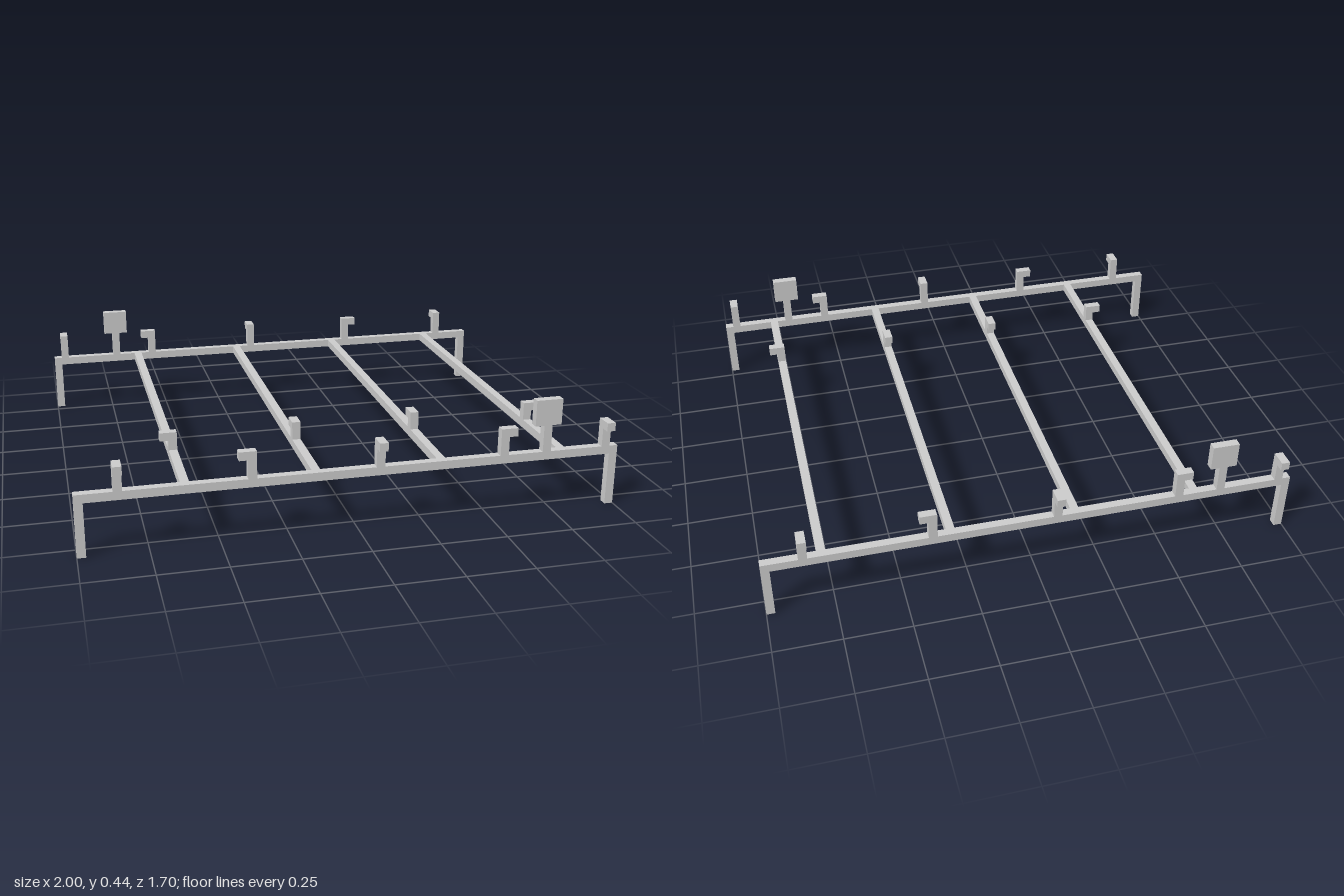
import * as THREE from 'three';

const T = 0.032;           // bar thickness
const RAIL_Z = 0.801;      // end rail centre
const DECK = 0.235;        // top of the frame
const material = new THREE.MeshStandardMaterial({ color: 0xcccccc, flatShading: true });

function box(name, w, h, d, x, y, z) {
  const mesh = new THREE.Mesh(new THREE.BoxGeometry(w, h, d), material);
  mesh.name = name;
  mesh.position.set(x, y, z);
  return mesh;
}

// Upright post with a small block sticking out at its top, towards (dx, dz)
function hook(name, x, z, top, dx, dz) {
  const group = new THREE.Group();
  group.name = name;
  group.add(
    box('hookPost', T, top - DECK, T, x, (top + DECK) / 2, z),
    box('hookTip', T, T, T, x + dx * T, top - T / 2, z + dz * T)
  );
  return group;
}

// One end: rail, two legs, five hooks and a paddle
function endFrame(name) {
  const group = new THREE.Group();
  group.name = name;
  group.add(box('endRail', 2, T, T, 0, DECK - T / 2, RAIL_Z));
  for (const side of [-1, 1]) {
    group.add(box('leg', T, DECK - T, T, side * (1 - T / 2), (DECK - T) / 2, RAIL_Z));
  }
  for (const x of [-0.85, 0.081, 0.952]) {
    group.add(hook('outwardHook', x, RAIL_Z, 0.337, 0, 1));
  }
  group.add(hook('sidewaysHook', -0.384, RAIL_Z, 0.337, -1, 0));
  group.add(hook('sidewaysHook', 0.551, RAIL_Z, 0.337, 1, 0));
  group.add(box('paddleStem', T, 0.102, T, 0.716, 0.286, RAIL_Z));
  group.add(box('paddlePlate', 0.102, 0.099, T, 0.716, 0.3865, RAIL_Z));
  return group;
}

export function createModel() {
  const model = new THREE.Group();
  model.name = 'rackFrame';

  // The back end is the front end turned half way round
  const back = endFrame('backEnd');
  back.rotation.y = Math.PI;
  model.add(endFrame('frontEnd'), back);

  // Crossbars, each with a low hook: outer tips point sideways, inner ones backwards
  const bars = [[-0.618, -1, 0], [-0.151, 0, -1], [0.316, 0, -1], [0.783, 1, 0]];
  for (const [x, dx, dz] of bars) {
    model.add(box('crossbar', T, T, 2 * RAIL_Z - T, x, DECK - T / 2, 0));
    model.add(hook('crossbarHook', x, 0.466, 0.304, dx, dz));
  }
  return model;
}
